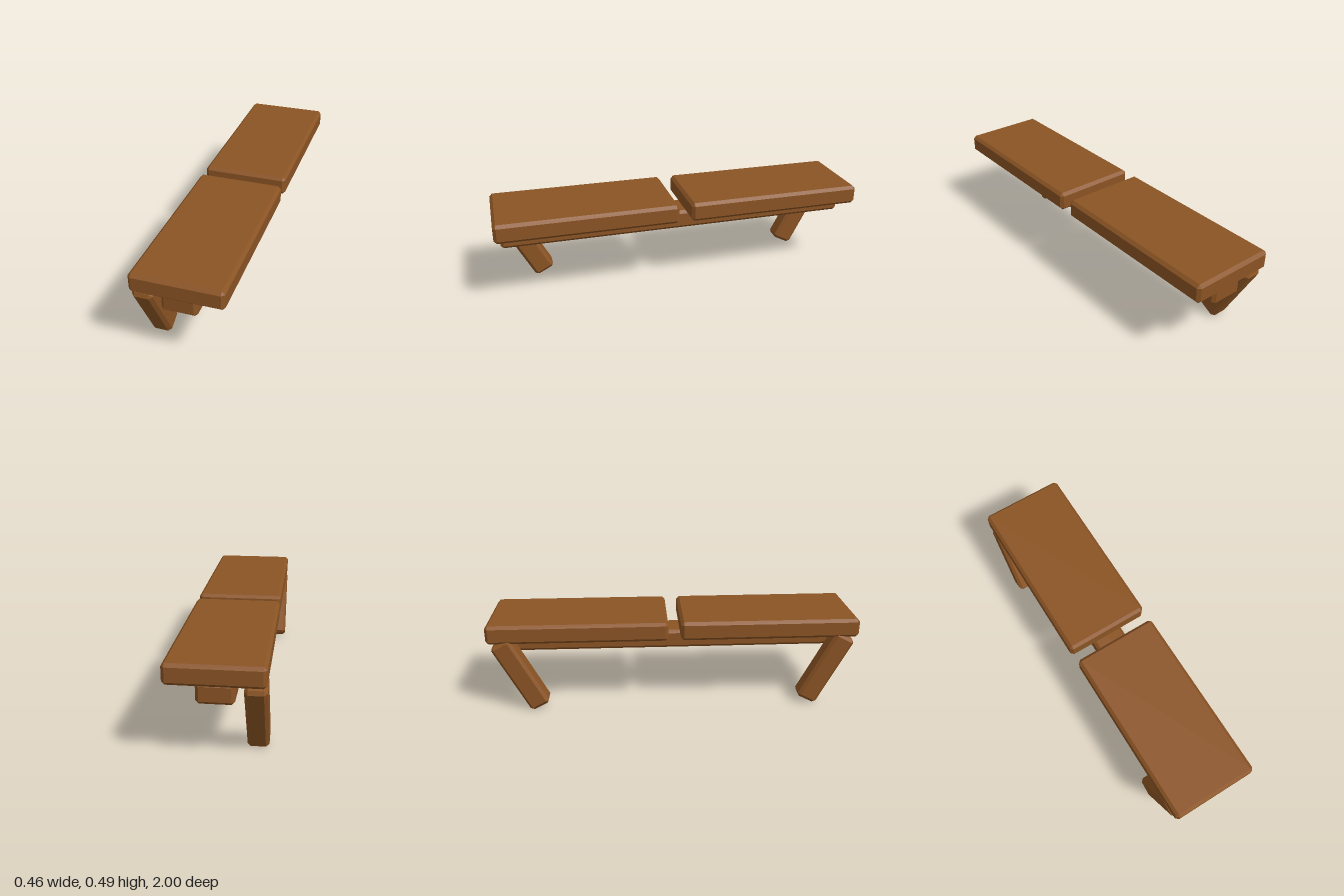
import * as THREE from 'three';
import { ConvexGeometry } from 'three/addons/geometries/ConvexGeometry.js';

// Box with all edges and corners cut flat by c
function chamferedBox(w, h, d, c = 0.016) {
  const half = [w / 2, h / 2, d / 2];
  const points = [];
  for (const sx of [-1, 1]) for (const sy of [-1, 1]) for (const sz of [-1, 1]) {
    for (let axis = 0; axis < 3; axis++) {
      // each corner gives one point on each of its three faces
      const p = half.map((v, i) => (i === axis ? v : v - c));
      points.push(new THREE.Vector3(sx * p[0], sy * p[1], sz * p[2]));
    }
  }
  return new ConvexGeometry(points);
}

export function createModel() {
  const group = new THREE.Group();
  group.name = 'bench';
  const wood = new THREE.MeshStandardMaterial({ color: 0x8b5424 });
  wood.name = 'brownWood';

  function add(name, geometry, x, y, z) {
    const mesh = new THREE.Mesh(geometry, wood);
    mesh.name = name;
    mesh.position.set(x, y, z);
    group.add(mesh);
    return mesh;
  }

  // Central beam under the boards
  add('centreBeam', chamferedBox(0.177, 0.103, 1.94), 0, 0.3465, 0);

  const board = chamferedBox(0.462, 0.103, 0.966);
  const leg = chamferedBox(0.104, 0.422, 0.116);
  const tilt = THREE.MathUtils.degToRad(27.5);

  for (const [end, s] of [['front', 1], ['back', -1]]) {
    // Seat board, with a gap in the middle
    add(end + 'Board', board, 0, 0.4435, s * 0.517);
    // Slanted leg, on one side only
    add(end + 'Leg', leg, -0.18, 0.207, s * 0.834).rotation.x = s * tilt;
  }
  return group;
}
